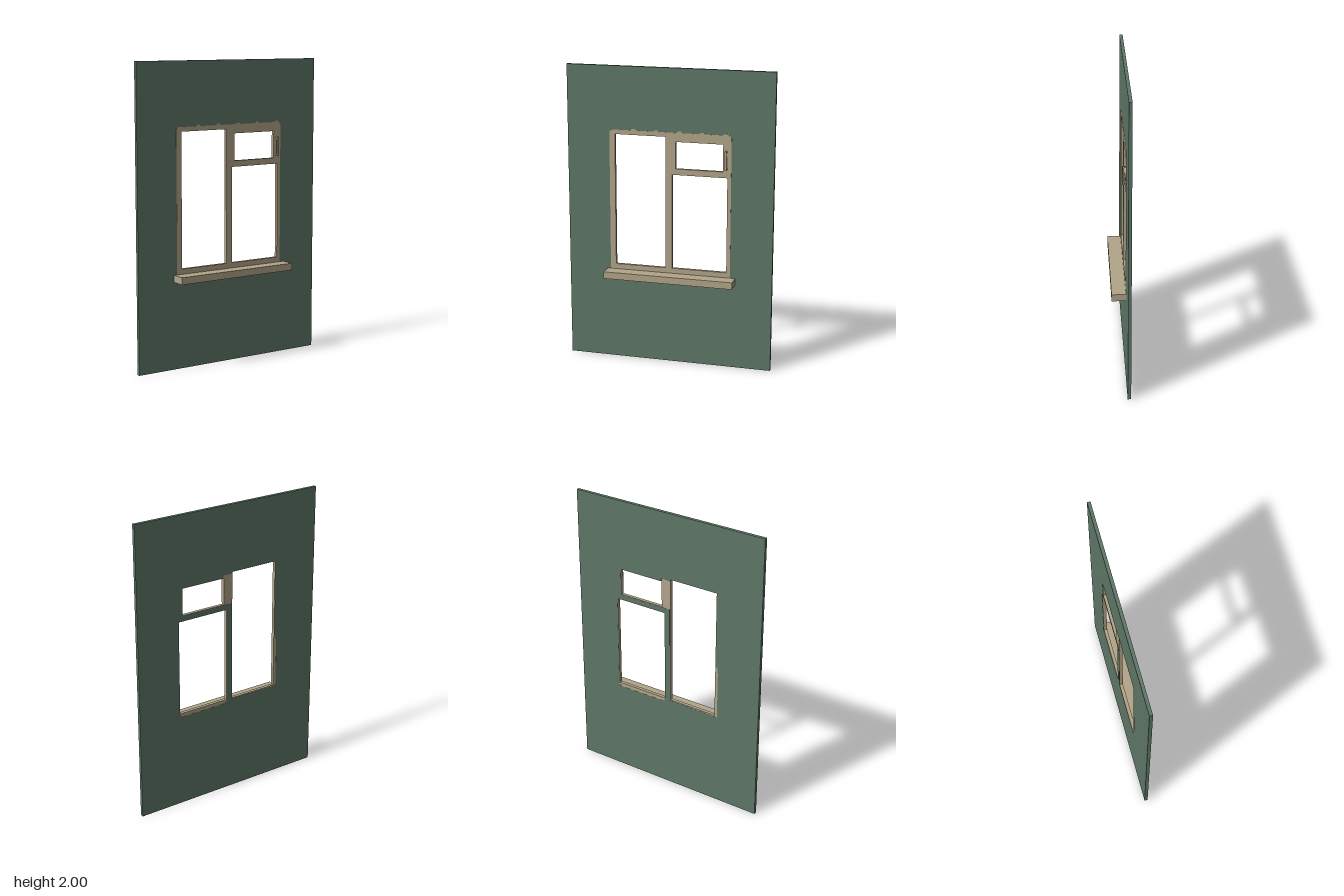
import * as THREE from 'three';

const BACK = -0.058, FRONT = -0.036;

const shapeOf = (pts, Type = THREE.Shape) => new Type(pts.map(([x, y]) => new THREE.Vector2(x, y)));
const rect = (x0, x1, y0, y1) => [[x0, y0], [x1, y0], [x1, y1], [x0, y1]];

// Flat panel between two depths, with cut-outs
function panel(name, outline, holes, z0, z1, material) {
  const shape = shapeOf(outline);
  shape.holes = holes.map((h) => shapeOf(h, THREE.Path));
  const geo = new THREE.ExtrudeGeometry(shape, { depth: z1 - z0, bevelEnabled: false });
  geo.translate(0, 0, z0);
  const mesh = new THREE.Mesh(geo, material);
  mesh.name = name;
  return mesh;
}

function box(name, x0, x1, y0, y1, z0, z1, material) {
  const mesh = new THREE.Mesh(new THREE.BoxGeometry(x1 - x0, y1 - y0, z1 - z0), material);
  mesh.position.set((x0 + x1) / 2, (y0 + y1) / 2, (z0 + z1) / 2);
  mesh.name = name;
  return mesh;
}

export function createModel() {
  const green = new THREE.MeshStandardMaterial({ color: 0x5e7768 });
  green.name = 'wall green';
  const tan = new THREE.MeshStandardMaterial({ color: 0xb2a589 });
  tan.name = 'frame tan';

  const group = new THREE.Group();
  group.name = 'windowWall';

  // Wall: cut slightly wider than the panes, so the frame lines each opening
  const e = 0.003;
  const sideAndVentCut = [
    [-0.39, 0.65], [-0.02, 0.657], [-0.02, 1.337], [0.363, 1.337], [0.363, 1.523],
    [0.045, 1.523], [0.045, 1.54], [-0.02, 1.54], [-0.022, 1.553],
    [-0.373, 1.553], [-0.373, 1.03], [-0.385, 1.02], [-0.39, 0.98],
  ];
  const lowerCut = [
    [0.035, 0.635], [0.375, 0.635], [0.39 + e, 0.65], [0.39 + e, 1.303], [0.02 - e, 1.303], [0.02 - e, 0.65],
  ];
  group.add(panel('wall', rect(-0.697, 0.697, 0, 2), [sideAndVentCut, lowerCut], BACK, FRONT, green));

  // Frame: set into the wall, with chamfered corners and small bumps along the top
  const outline = [[-0.408, 0.6], [0.415, 0.6], [0.415, 1.565], [0.4, 1.58]];
  for (const x of [0.38, 0.222, 0.067, -0.088, -0.244]) {
    outline.push([x + 0.018, 1.58], [x + 0.012, 1.589], [x - 0.012, 1.589], [x - 0.018, 1.58]);
  }
  outline.push([-0.395, 1.58], [-0.408, 1.565]);
  const panes = [
    rect(-0.37, -0.025, 0.66, 1.55),
    rect(0.02, 0.39, 0.66, 1.3),
    rect(0.042, 0.36, 1.34, 1.52),
  ];
  group.add(panel('windowFrame', outline, panes, BACK + 0.001, FRONT + 0.0015, tan));

  // Sill
  group.add(box('sill', -0.43, 0.45, 0.578, 0.625, FRONT - 0.002, 0.058, tan));

  // Handle of the vent window: bar on two feet
  const handle = new THREE.Group();
  handle.name = 'handle';
  handle.add(box('handleBar', 0.375, 0.389, 1.355, 1.478, -0.022, -0.012, tan));
  for (const y of [1.355, 1.468]) {
    handle.add(box('handleFoot', 0.375, 0.389, y, y + 0.01, FRONT, -0.022, tan));
  }
  group.add(handle);

  return group;
}
